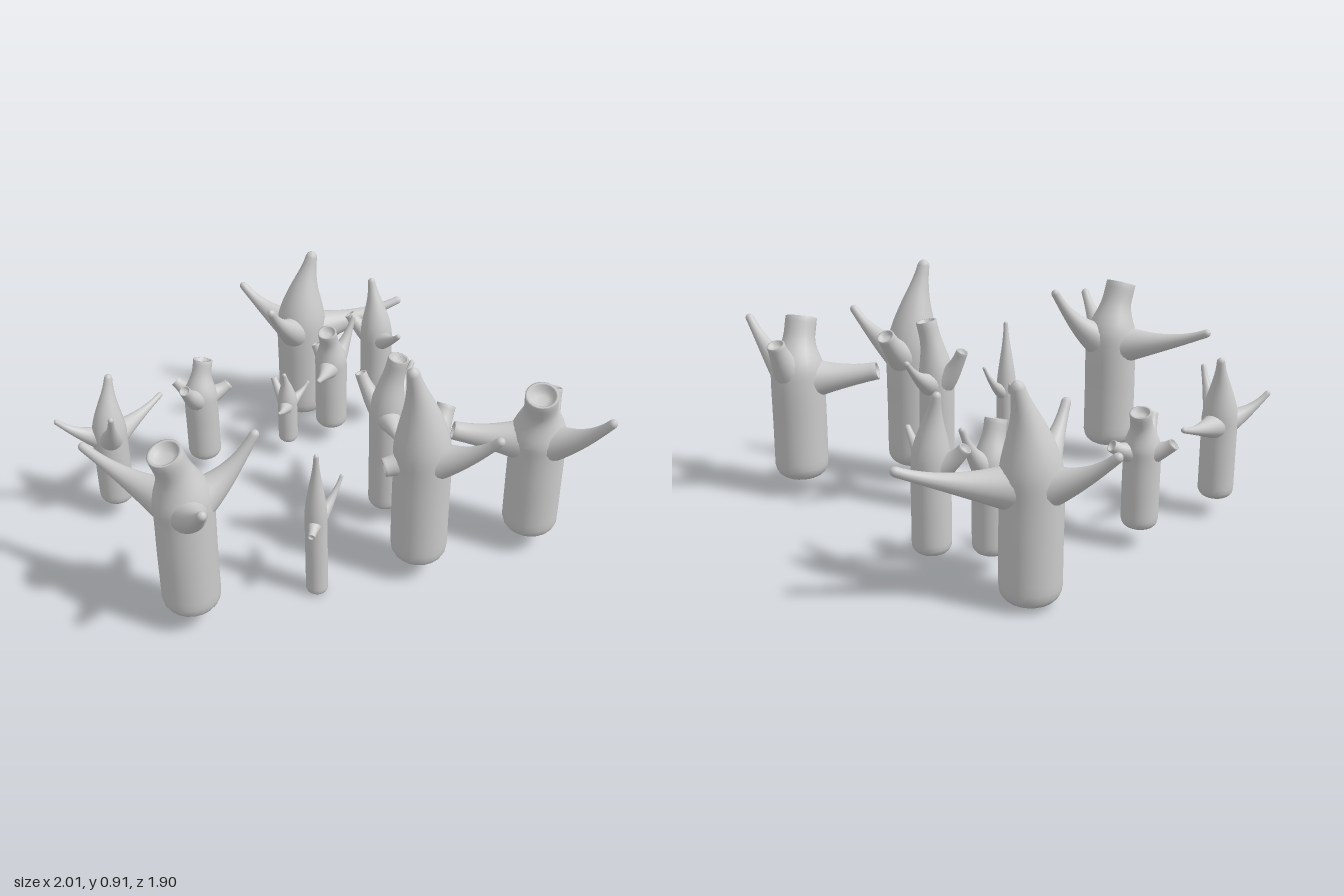
import * as THREE from 'three';

const SIDES = 20;
const LARGE = 0.105, MEDIUM = 0.067, SMALL = 0.041; // trunk radii
const V = (x, y, z) => new THREE.Vector3(x, y, z);
const material = new THREE.MeshStandardMaterial({ color: 0xcccccc, side: THREE.DoubleSide });

// Closed skin of circular rings along a curve; the end is hollowed (cut) or rounded
function limb(name, curve, steps, radiusAt, cut) {
  const frames = curve.computeFrenetFrames(steps.length - 1, false);
  const rings = steps.map((u, i) => {
    const p = curve.getPointAt(u);
    return { p, r: radiusAt(u, p), n: frames.normals[i], b: frames.binormals[i] };
  });
  const end = rings[rings.length - 1];
  const dir = curve.getTangentAt(1);
  const finish = cut
    ? [[0, 0.9], [0, 0.8], [-0.35, 0.7], [-0.45, 0.35], [-0.45, 0]]
    : [[0.5, 0.86], [0.86, 0.5], [1, 0]];
  for (const [along, scale] of finish) {
    rings.push({ ...end, p: end.p.clone().addScaledVector(dir, along * end.r), r: end.r * scale });
  }
  rings.unshift({ ...rings[0], r: 0 });

  const pos = [], index = [];
  rings.forEach(({ p, r, n, b }, i) => {
    for (let j = 0; j < SIDES; j++) {
      const a = (j / SIDES) * Math.PI * 2;
      const q = p.clone().addScaledVector(n, Math.cos(a) * r).addScaledVector(b, Math.sin(a) * r);
      pos.push(q.x, q.y, q.z);
      if (i === 0) continue;
      const k = (j + 1) % SIDES, lo = (i - 1) * SIDES, hi = i * SIDES;
      index.push(lo + j, lo + k, hi + k, lo + j, hi + k, hi + j);
    }
  });
  const geo = new THREE.BufferGeometry();
  geo.setAttribute('position', new THREE.Float32BufferAttribute(pos, 3));
  geo.setIndex(index);
  geo.computeVertexNormals();
  const mesh = new THREE.Mesh(geo, material);
  mesh.name = name;
  return mesh;
}

// Upright trunk: rounded foot, straight body, then a leaning neck (cut) or horn
function trunk(R, x, z, y0, shoulder, top, lean, cut) {
  const a = THREE.MathUtils.degToRad(lean);
  const dx = Math.sin(a) * R * 0.55, dz = Math.cos(a) * R * 0.55;
  const topR = R * (cut ? 0.58 : 0.22);
  const neck = cut ? top - R * 0.6 : top;
  const curve = new THREE.CatmullRomCurve3([
    V(x, y0, z), V(x, (y0 + shoulder) / 2, z), V(x, shoulder, z),
    V(x + dx * 0.33, (shoulder + top) / 2, z + dz * 0.33),
    V(x + dx, cut ? top : top - topR, z + dz),
  ]);
  const c = R * 0.55; // foot rounding
  const steps = [0, 0.005, 0.015, 0.03, 0.05, 0.08, 0.12];
  for (let i = 1; i <= 24; i++) steps.push(0.12 + (0.88 * i) / 24);
  return limb('trunk', curve, steps, (u, p) => {
    const low = THREE.MathUtils.clamp(p.y - y0, 0, c);
    const body = R - c + Math.sqrt(c * c - (c - low) ** 2);
    return THREE.MathUtils.lerp(body, topR, THREE.MathUtils.smoothstep(p.y, shoulder, neck));
  }, cut);
}

// Branch flaring out of the trunk and sweeping up to its tip
function branch(R, x, z, base, [tx, ty, tz], cut) {
  const tipR = R * (cut ? 0.33 : 0.16);
  const curve = new THREE.QuadraticBezierCurve3(
    V(x, base, z),
    V(x + (tx - x) * 0.6, base + (ty - base) * 0.25, z + (tz - z) * 0.6),
    V(tx, ty, tz));
  const steps = Array.from({ length: 19 }, (_, i) => i / 18);
  return limb(cut ? 'cutBranch' : 'branch', curve, steps,
    (u) => tipR + (R * 0.93 - tipR) * Math.pow(1 - u, 1.8), cut);
}

// One stump; lean is the compass angle of its top, 0 towards the front.
// The branches spring from a fixed share of its height.
function stump({ R, x, z, y0 = 0.08, top, lean, cut = false, pointed, stubs = [] }) {
  const group = new THREE.Group();
  group.name = cut ? 'cutStump' : 'hornedStump';
  const base = y0 + (top - y0) * (cut ? 0.63 : 0.52);
  group.add(trunk(R, x, z, y0, base + R * 0.3, top, lean, cut));
  for (const tip of pointed) group.add(branch(R, x, z, base, tip, false));
  for (const tip of stubs) group.add(branch(R, x, z, base, tip, true));
  return group;
}

export function createModel() {
  const model = new THREE.Group();
  model.name = 'treeStumps';

  // Large stumps
  model.add(stump({ R: LARGE, x: -0.475, z: -0.68, y0: 0.02, top: 0.77, lean: 148,
    pointed: [[-0.76, 0.56, -0.7], [-0.13, 0.5, -0.94], [-0.49, 0.62, -0.42]] }));
  model.add(stump({ R: LARGE, x: 0.38, z: 0.165, top: 0.915, lean: -30,
    pointed: [[0.665, 0.69, 0.2]], stubs: [[0.405, 0.65, -0.01], [0.265, 0.5, 0.245]] }));
  model.add(stump({ R: LARGE, x: 0.718, z: -0.155, top: 0.715, lean: 10, cut: true,
    pointed: [[0.99, 0.68, -0.07]], stubs: [[0.425, 0.52, -0.045], [0.73, 0.645, -0.28]] }));
  model.add(stump({ R: LARGE, x: -0.268, z: 0.733, top: 0.768, lean: -19, cut: true,
    pointed: [[-0.685, 0.615, 0.68], [-0.08, 0.75, 0.555], [-0.08, 0.68, 0.93]] }));

  // Medium stumps
  model.add(stump({ R: MEDIUM, x: -0.137, z: -0.71, y0: 0.14, top: 0.7, lean: -120,
    pointed: [[0, 0.52, -0.605]], stubs: [[-0.26, 0.52, -0.71]] }));
  model.add(stump({ R: MEDIUM, x: -0.84, z: 0.305, top: 0.635, lean: 180,
    pointed: [[-0.99, 0.475, 0.42], [-0.74, 0.55, 0.425], [-0.775, 0.42, 0.03]] }));
  model.add(stump({ R: MEDIUM, x: 0.155, z: -0.075, top: 0.75, lean: 108, cut: true,
    pointed: [[0.18, 0.63, -0.265], [0.29, 0.54, 0.14]], stubs: [[0.04, 0.65, -0.09]] }));
  model.add(stump({ R: MEDIUM, x: -0.265, z: -0.515, top: 0.55, lean: 0, cut: true,
    pointed: [[-0.215, 0.55, -0.64], [-0.23, 0.42, -0.31]], stubs: [[-0.34, 0.45, -0.535]] }));
  model.add(stump({ R: MEDIUM, x: -0.66, z: -0.095, top: 0.52, lean: 180, cut: true,
    pointed: [], stubs: [[-0.775, 0.41, -0.1], [-0.575, 0.4, -0.18], [-0.655, 0.47, 0.035]] }));

  // Small stumps
  model.add(stump({ R: SMALL, x: 0.08, z: 0.425, y0: 0.01, top: 0.64, lean: 34,
    pointed: [[0.13, 0.47, 0.31]], stubs: [[0.1, 0.33, 0.51], [0.045, 0.39, 0.4]] }));
  model.add(stump({ R: SMALL, x: -0.385, z: -0.33, top: 0.42, lean: 0,
    pointed: [[-0.335, 0.32, -0.43], [-0.35, 0.31, -0.18]], stubs: [[-0.47, 0.34, -0.38]] }));

  return model;
}
